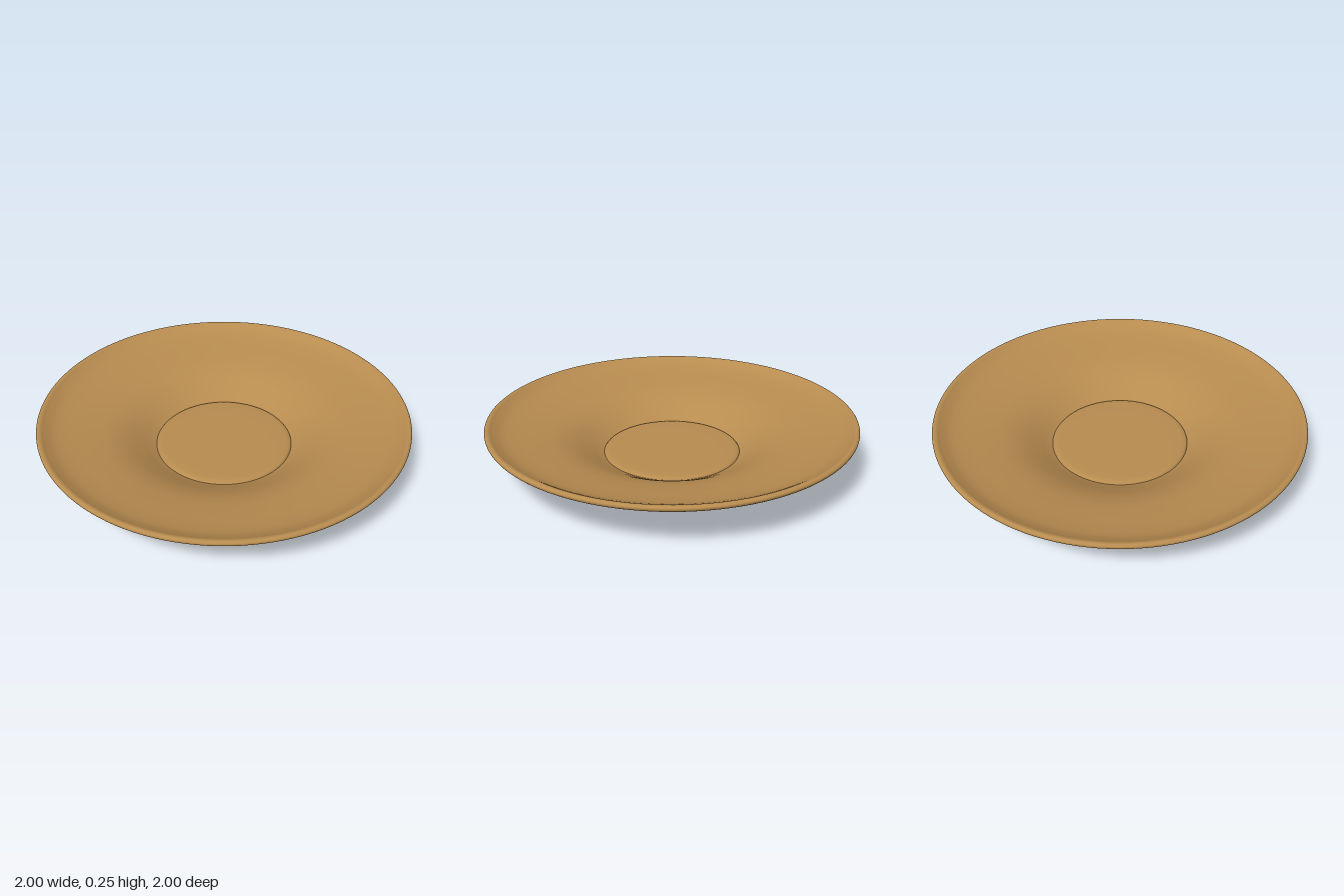
import * as THREE from 'three';

const gold = new THREE.MeshStandardMaterial({ color: 0xb88c50 });
gold.name = 'ochre glaze';
const clay = new THREE.MeshStandardMaterial({ color: 0xb29686 });
clay.name = 'bare clay';

// Smooth surface of revolution; points run from the underside outward and up, then back in
function turned(name, points, material, steps = 6) {
  const curve = new THREE.CatmullRomCurve3(
    points.map(([r, y]) => new THREE.Vector3(r, y, 0)), false, 'centripetal');
  const profile = curve.getPoints(points.length * steps)
    .map((p) => new THREE.Vector2(Math.max(p.x, 0), p.y));
  const mesh = new THREE.Mesh(new THREE.LatheGeometry(profile, 128), material);
  mesh.name = name;
  return mesh;
}

export function createModel() {
  const saucer = new THREE.Group();
  saucer.name = 'saucer';

  // Unglazed foot with a shallow recess underneath
  saucer.add(turned('foot', [
    [0, 0.012], [0.15, 0.012], [0.29, 0.012], [0.33, 0.011], [0.352, 0.005],
    [0.368, 0], [0.382, 0.002], [0.393, 0.012], [0.399, 0.028],
    [0.405, 0.038], [0.43, 0.051],
  ], clay));

  // Flaring underside, rolled rim and dished upper face
  saucer.add(turned('dish', [
    [0.43, 0.051], [0.5, 0.083], [0.575, 0.11], [0.64, 0.126], [0.75, 0.148],
    [0.87, 0.172], [0.93, 0.191], [0.975, 0.213], [0.997, 0.228],
    [0.999, 0.24], [0.99, 0.249], [0.976, 0.248], [0.955, 0.237],
    [0.91, 0.217], [0.84, 0.2], [0.72, 0.178], [0.62, 0.157],
    [0.54, 0.13], [0.46, 0.091], [0.405, 0.061], [0.373, 0.045],
  ], gold));

  // Slightly raised cup seat with a softened edge
  saucer.add(turned('cupSeat', [
    [0.373, 0.045], [0.366, 0.053], [0.35, 0.058], [0.32, 0.06],
    [0.26, 0.061], [0.13, 0.061], [0, 0.061],
  ], gold));

  return saucer;
}
